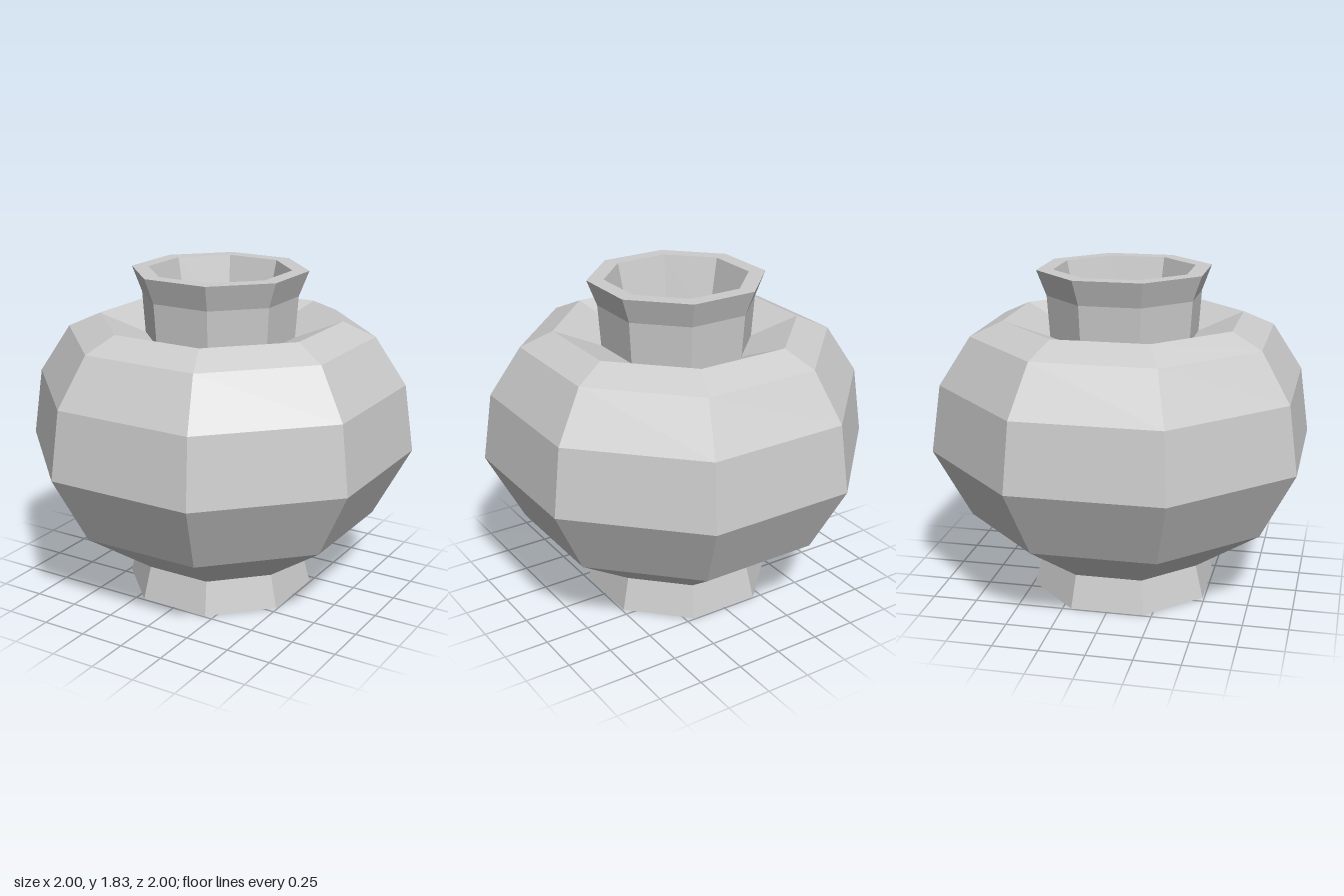
import * as THREE from 'three';

const SIDES = 8;
const CORNER = 1 / Math.cos(Math.PI / SIDES); // flat-to-flat radius -> corner radius

// Eight-sided ring section from a profile of [flat radius, height], listed bottom to top
function faceted(name, profile, material) {
  const points = profile.map(([r, y]) => new THREE.Vector2(r * CORNER, y));
  const mesh = new THREE.Mesh(new THREE.LatheGeometry(points, SIDES, Math.PI / SIDES), material);
  mesh.name = name;
  return mesh;
}

export function createModel() {
  const group = new THREE.Group();
  group.name = 'pot';
  const clay = new THREE.MeshStandardMaterial({ color: 0xcccccc, flatShading: true });

  group.add(
    // Flared foot with a closed underside
    faceted('foot', [[0, 0], [0.49, 0], [0.445, 0.185]], clay),
    // Round belly, shoulder and the sunken ring around the neck
    faceted('body', [
      [0.445, 0.185], [0.81, 0.455], [1, 0.84], [0.95, 1.215],
      [0.79, 1.48], [0.625, 1.56], [0.385, 1.46],
    ], clay),
    // Neck with flared rim
    faceted('neck', [[0.385, 1.46], [0.4, 1.69], [0.45, 1.83], [0.365, 1.83]], clay),
    // Tapered inside of the mouth down to its floor
    faceted('mouth', [[0.365, 1.83], [0.29, 1.46], [0, 1.46]], clay),
  );
  return group;
}
